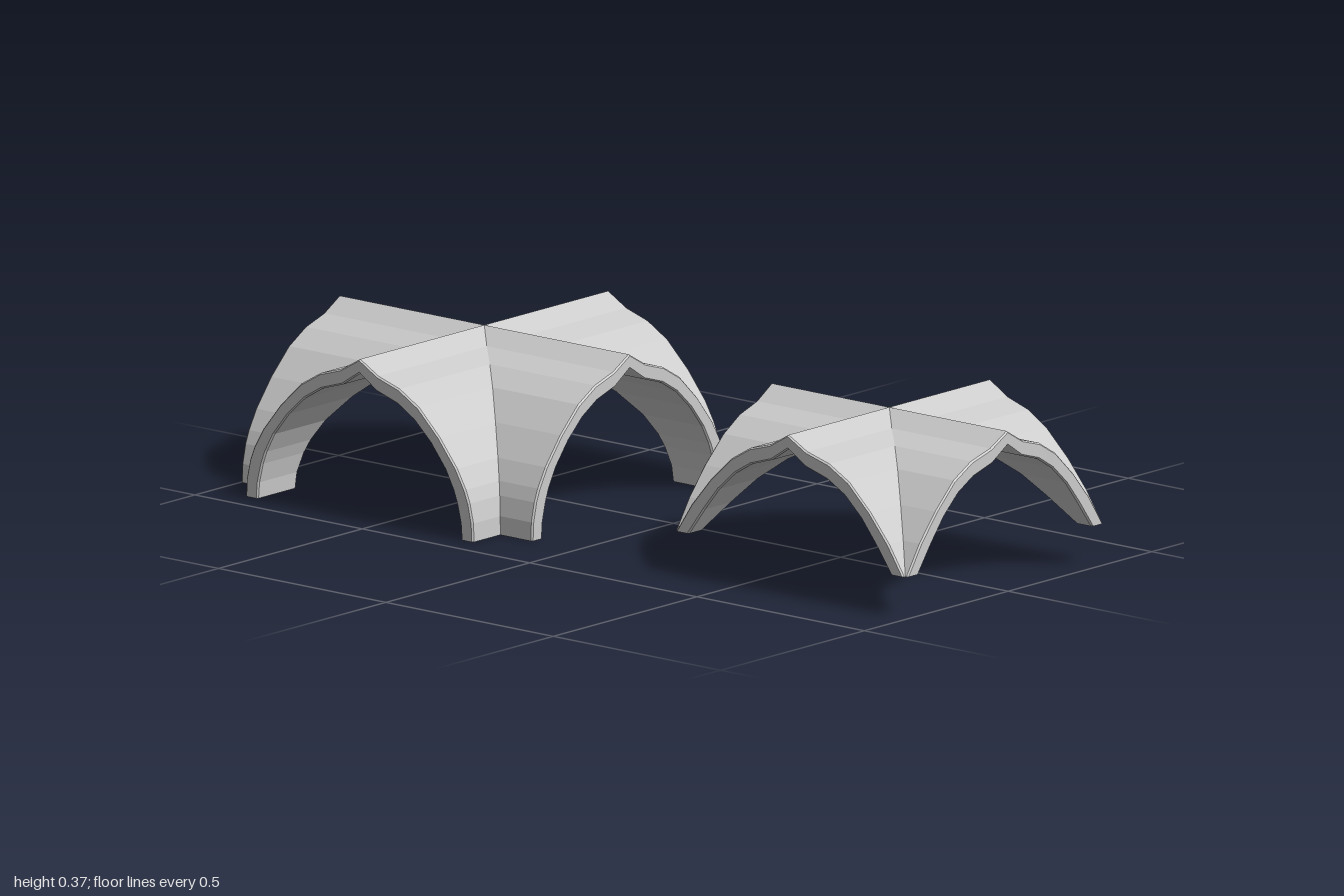
import * as THREE from 'three';

// Half cross-sections from apex to foot: [across, height]
const LARGE = {
  outer: [[0, 0.375], [0.054, 0.344], [0.118, 0.324], [0.176, 0.29], [0.238, 0.23], [0.29, 0.165], [0.316, 0.12], [0.328, 0.09], [0.338, 0.045], [0.34, 0.002]],
  inner: [[0, 0.342], [0.051, 0.308], [0.114, 0.288], [0.164, 0.258], [0.212, 0.214], [0.255, 0.16], [0.279, 0.115], [0.29, 0.085], [0.301, 0.04], [0.304, 0.002]],
  length: 0.435, bow: 0,
};
const SMALL = {
  outer: [[0, 0.375], [0.054, 0.344], [0.118, 0.325], [0.176, 0.291], [0.24, 0.23], [0.295, 0.165], [0.34, 0.096]],
  inner: [[0, 0.342], [0.051, 0.308], [0.114, 0.288], [0.164, 0.258], [0.212, 0.214], [0.255, 0.16], [0.302, 0.096]],
  length: 0.347, bow: 0.007,
};
const BEVEL = 0.004;

// Mirror a half section into a full arch running left to right
const fullArch = (half) => [...half.slice(1).reverse().map(([x, y]) => [-x, y]), ...half];

// One vault arm along +z, mitred on the diagonals where it meets its neighbours
function armGeometry({ outer, inner, length, bow }) {
  const o = fullArch(outer), n = fullArch(inner), count = o.length;
  const section = [...o, ...n.slice().reverse()];
  const total = section.length;
  const end = (x) => length + bow * Math.max(0, 1 - Math.abs(x) / 0.17);
  const rim = section.map(([x, y], i) => {
    const [px, py] = section[total - 1 - i];
    return [x + (px - x) * 0.1, y + (py - y) * 0.1];
  });
  const rings = [
    section.map(([x, y]) => [x, y, Math.abs(x)]),
    section.map(([x, y]) => [x, y, end(x) - BEVEL]),
    rim.map(([x, y]) => [x, y, end(x)]),
  ];
  const pos = [];
  const quad = (a, b, c, d) => pos.push(...a, ...b, ...c, ...a, ...c, ...d);

  // Shell, feet and bevelled edge
  for (let r = 0; r < 2; r++) {
    for (let i = 0; i < total; i++) {
      const j = (i + 1) % total;
      quad(rings[r][i], rings[r + 1][i], rings[r + 1][j], rings[r][j]);
    }
  }
  // Arch-shaped end face
  const face = rings[2];
  for (let i = 0; i < count - 1; i++) {
    quad(face[i], face[total - 1 - i], face[total - 2 - i], face[i + 1]);
  }
  const geometry = new THREE.BufferGeometry();
  geometry.setAttribute('position', new THREE.Float32BufferAttribute(pos, 3));
  geometry.computeVertexNormals();
  return geometry;
}

// Four equal arms around the centre make a groin vault
function makeVault(name, spec, material) {
  const vault = new THREE.Group();
  vault.name = name;
  const geometry = armGeometry(spec);
  ['front', 'left', 'back', 'right'].forEach((side, i) => {
    const arm = new THREE.Mesh(geometry, material);
    arm.name = `${side}Arm`;
    arm.rotation.y = (i * Math.PI) / 2;
    vault.add(arm);
  });
  return vault;
}

export function createModel() {
  const model = new THREE.Group();
  model.name = 'groinVaults';
  const stone = new THREE.MeshStandardMaterial({ color: 0xcccccc, flatShading: true });

  const large = makeVault('largeVault', LARGE, stone);
  large.position.x = -0.565;
  const small = makeVault('smallVault', SMALL, stone);
  small.position.x = 0.645;
  model.add(large, small);
  return model;
}
